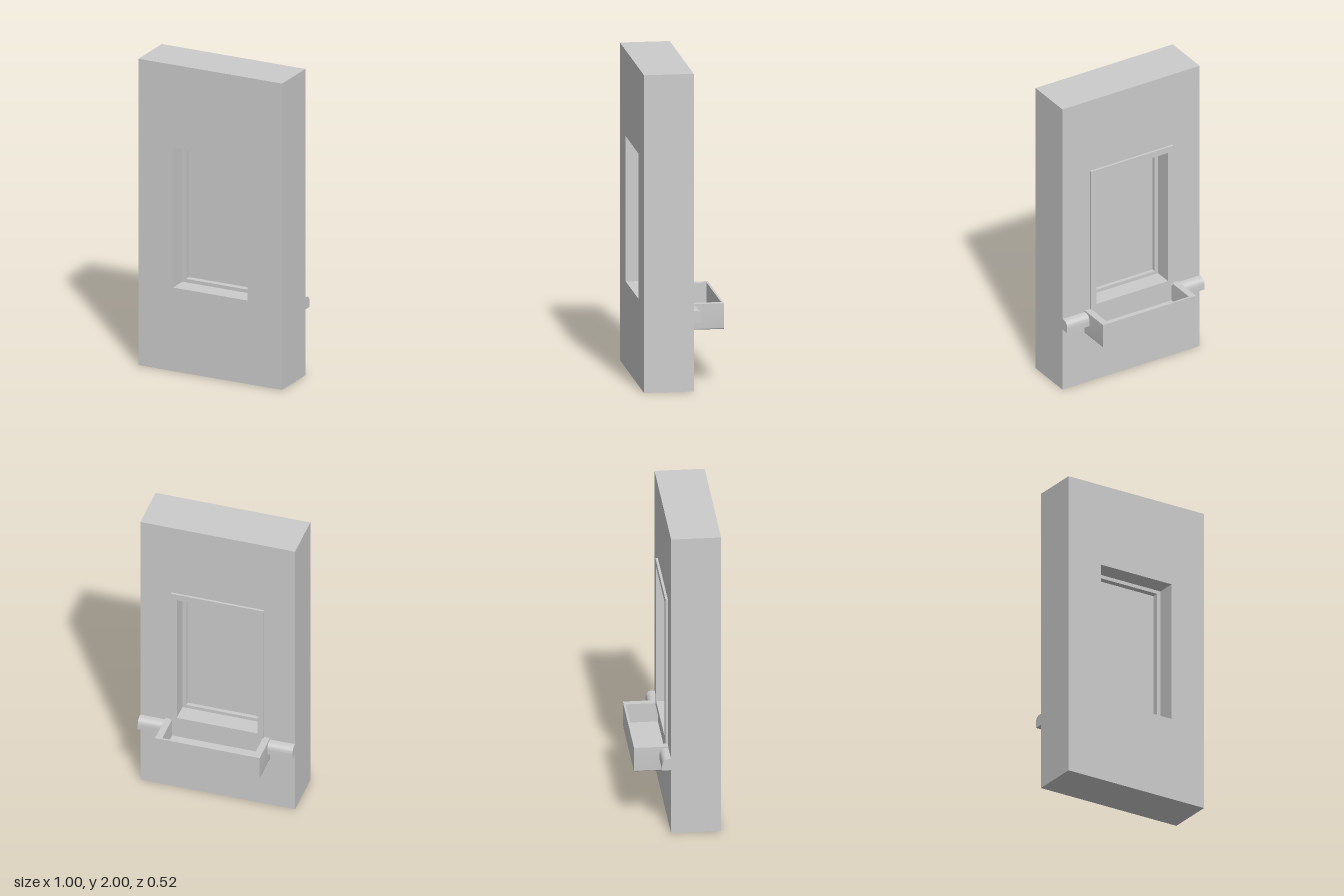
import * as THREE from 'three';
import { toCreasedNormals } from 'three/addons/utils/BufferGeometryUtils.js';

const material = new THREE.MeshStandardMaterial({ color: 0xcccccc });

const WALL_FRONT = 0.26, WALL_BACK = -0.05;
const OPENING = [-0.26, 0.26, 0.545, 1.46];

function addMesh(group, name, geometry) {
  const mesh = new THREE.Mesh(geometry, material);
  mesh.name = name;
  group.add(mesh);
}

function addBox(group, name, [x0, x1], [y0, y1], [z0, z1]) {
  const geometry = new THREE.BoxGeometry(x1 - x0, y1 - y0, z1 - z0);
  geometry.translate((x0 + x1) / 2, (y0 + y1) / 2, (z0 + z1) / 2);
  addMesh(group, name, geometry);
}

function trace(path, [x0, x1, y0, y1]) {
  path.moveTo(x0, y0);
  path.lineTo(x1, y0);
  path.lineTo(x1, y1);
  path.lineTo(x0, y1);
  path.closePath();
  return path;
}

// Rectangular ring running from z0 to z1
function ring(outer, inner, z0, z1) {
  const shape = trace(new THREE.Shape(), outer);
  shape.holes.push(trace(new THREE.Path(), inner));
  const geometry = new THREE.ExtrudeGeometry(shape, { depth: z1 - z0, bevelEnabled: false });
  return geometry.translate(0, 0, z0);
}

export function createModel() {
  const model = new THREE.Group();
  model.name = 'windowWall';

  // Wall, sash and glazing
  addMesh(model, 'wall', ring([-0.5, 0.5, 0, 2], OPENING, WALL_BACK, WALL_FRONT));
  const sashInner = [-0.235, 0.235, 0.567, 1.437];
  addMesh(model, 'windowFrame', ring(OPENING, sashInner, 0.05, 0.135));
  addBox(model, 'windowPane', [-0.235, 0.235], [0.567, 1.437], [0.075, 0.095]);

  // Flat trim around the opening
  addMesh(model, 'windowTrim', ring([-0.3, 0.3, 0.505, 1.5], OPENING, -0.065, WALL_BACK));

  // Planter: a trough with softened lower edges, closed by a thin panel
  const planter = new THREE.Group();
  planter.name = 'planter';
  const W = 0.338, IN = 0.295, TOP = 0.515, BOTTOM = 0.353, FLOOR = 0.39, R = 0.008;
  const trough = new THREE.Shape();
  trough.moveTo(-W, TOP);
  trough.lineTo(-W, BOTTOM + R);
  trough.quadraticCurveTo(-W, BOTTOM, -W + R, BOTTOM);
  trough.lineTo(W - R, BOTTOM);
  trough.quadraticCurveTo(W, BOTTOM, W, BOTTOM + R);
  trough.lineTo(W, TOP);
  trough.lineTo(IN, TOP);
  trough.lineTo(IN, FLOOR);
  trough.lineTo(-IN, FLOOR);
  trough.lineTo(-IN, TOP);
  trough.closePath();
  const troughGeometry = new THREE.ExtrudeGeometry(trough, {
    depth: 0.213, bevelEnabled: false, curveSegments: 4,
  });
  troughGeometry.translate(0, 0, -0.263);
  addMesh(planter, 'planterTrough', toCreasedNormals(troughGeometry, 0.6));
  addBox(planter, 'planterPanel', [-IN, IN], [FLOOR, TOP], [-0.263, -0.25]);
  model.add(planter);

  // Rounded ledge on each side of the planter
  const ledge = new THREE.Shape();
  ledge.moveTo(0.05, 0.43);
  ledge.lineTo(0.105, 0.43);
  ledge.lineTo(0.105, 0.465);
  ledge.bezierCurveTo(0.105, 0.488, 0.092, 0.505, 0.07, 0.505);
  ledge.lineTo(0.05, 0.505);
  ledge.closePath();
  for (const [name, x] of [['leftLedge', W], ['rightLedge', -0.5]]) {
    const geometry = new THREE.ExtrudeGeometry(ledge, {
      depth: 0.5 - W, bevelEnabled: false, curveSegments: 10,
    });
    geometry.rotateY(Math.PI / 2).translate(x, 0, 0);
    addMesh(model, name, toCreasedNormals(geometry, 0.6));
  }

  return model;
}
